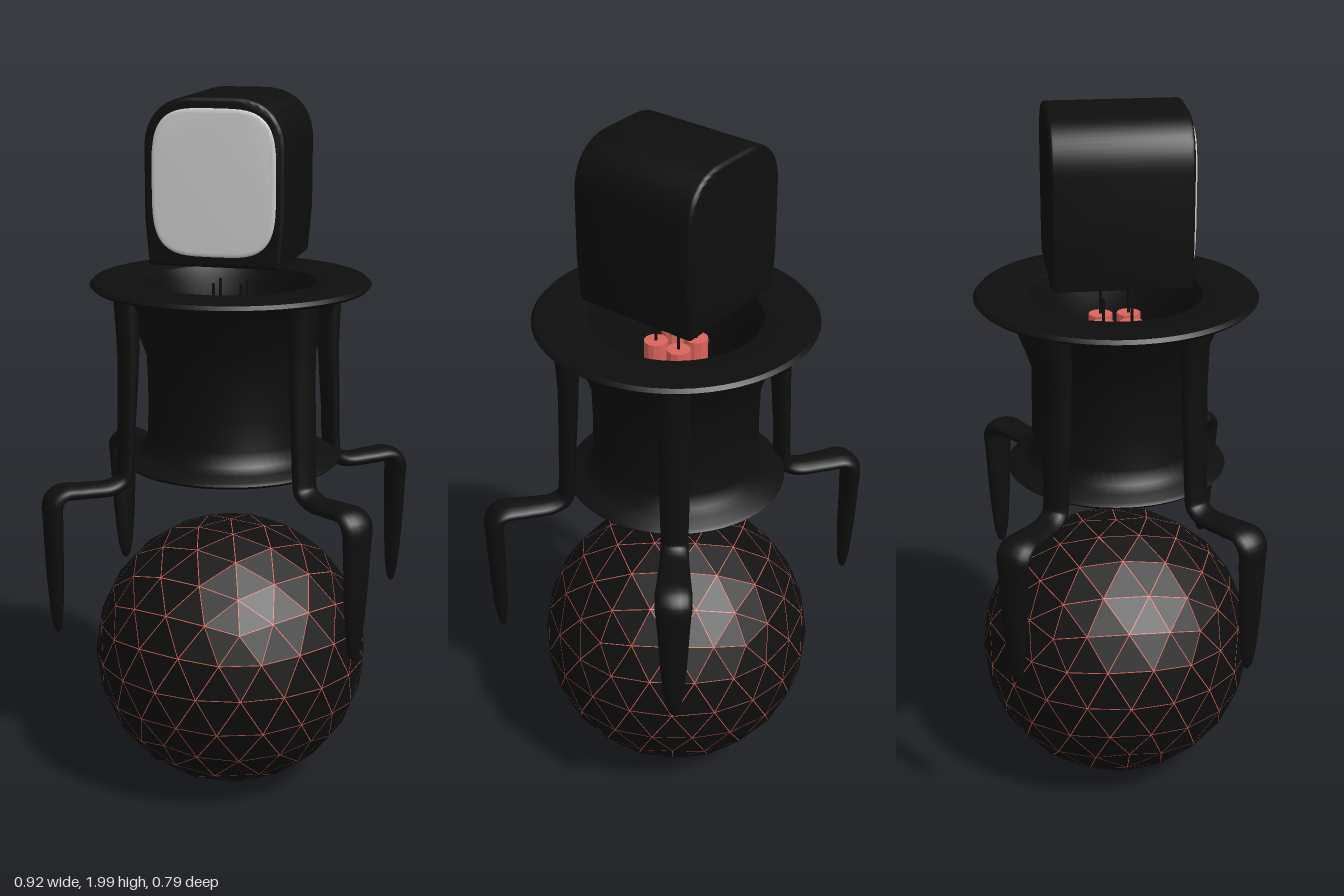
import * as THREE from 'three';
import { toCreasedNormals } from 'three/addons/utils/BufferGeometryUtils.js';

const black = new THREE.MeshStandardMaterial({ color: 0x0e0e0e, side: THREE.DoubleSide });
const blackFlat = new THREE.MeshStandardMaterial({ color: 0x0e0e0e, flatShading: true });
const red = new THREE.MeshStandardMaterial({ color: 0xd9645a, flatShading: true });
const grey = new THREE.MeshStandardMaterial({ color: 0xcccccc });

function part(name, geometry, material, parent) {
  const mesh = new THREE.Mesh(geometry, material);
  mesh.name = name;
  parent.add(mesh);
  return mesh;
}

// Icosphere with a vertex at each pole
function ballGeometry(radius) {
  return new THREE.IcosahedronGeometry(radius, 3).rotateZ(-Math.atan(2 / (1 + Math.sqrt(5))));
}

// Shrinks each triangle about its own centre to leave narrow seams
function separatePlates(geometry, scale) {
  const pos = geometry.attributes.position;
  const v = [0, 1, 2].map(() => new THREE.Vector3());
  const centre = new THREE.Vector3();
  for (let i = 0; i < pos.count; i += 3) {
    v.forEach((p, k) => p.fromBufferAttribute(pos, i + k));
    centre.copy(v[0]).add(v[1]).add(v[2]).divideScalar(3);
    v.forEach((p, k) => {
      p.sub(centre).multiplyScalar(scale).add(centre);
      pos.setXYZ(i + k, p.x, p.y, p.z);
    });
  }
  return geometry;
}

// Bent arm: each station is [radius, height, half thickness, half width]
function armGeometry() {
  const stations = [
    [0.305, 1.475, 0.036, 0.042], [0.303, 1.3, 0.028, 0.042], [0.312, 1.1, 0.023, 0.04],
    [0.316, 1.0, 0.023, 0.038], [0.324, 0.955, 0.023, 0.038], [0.36, 0.934, 0.022, 0.04],
    [0.44, 0.934, 0.022, 0.045], [0.505, 0.934, 0.022, 0.05], [0.528, 0.91, 0.027, 0.05],
    [0.53, 0.85, 0.026, 0.045], [0.528, 0.7, 0.023, 0.036], [0.526, 0.58, 0.016, 0.024],
    [0.525, 0.54, 0.009, 0.013], [0.525, 0.528, 0.0005, 0.0005],
  ];
  const curve = new THREE.CatmullRomCurve3(stations.map(([r, y]) => new THREE.Vector3(r, y, 0)));
  const rings = 78, sides = 16, last = stations.length - 1;
  const positions = [], index = [];
  for (let i = 0; i <= rings; i++) {
    const t = i / rings;
    const p = curve.getPoint(t), d = curve.getTangent(t);
    const k = Math.min(Math.floor(t * last), last - 1), f = t * last - k;
    const wn = THREE.MathUtils.lerp(stations[k][2], stations[k + 1][2], f);
    const wt = THREE.MathUtils.lerp(stations[k][3], stations[k + 1][3], f);
    for (let j = 0; j < sides; j++) {
      const a = (j / sides) * Math.PI * 2, n = Math.cos(a) * wn;
      positions.push(p.x - d.y * n, p.y + d.x * n, Math.sin(a) * wt);
      if (i < rings) {
        const a0 = i * sides + j, b0 = i * sides + (j + 1) % sides;
        index.push(a0, b0, a0 + sides, b0, b0 + sides, a0 + sides);
      }
    }
  }
  const g = new THREE.BufferGeometry();
  g.setAttribute('position', new THREE.Float32BufferAttribute(positions, 3));
  g.setIndex(index);
  g.computeVertexNormals();
  return g;
}

// Hollow waist with a wide top rim and a smaller bottom flange
function bodyGeometry() {
  const profile = [
    [0.215, 0.98], [0.3, 0.978], [0.308, 0.986], [0.3, 0.994], [0.265, 1.002], [0.243, 1.02],
    [0.234, 1.06], [0.231, 1.15], [0.234, 1.28], [0.255, 1.34], [0.282, 1.41], [0.305, 1.455],
    [0.335, 1.468], [0.38, 1.474], [0.389, 1.483], [0.38, 1.493], [0.25, 1.495], [0.237, 1.488],
    [0.225, 1.45], [0.215, 1.35], [0.215, 0.98],
  ].map(([x, y]) => new THREE.Vector2(x, y));
  return toCreasedNormals(new THREE.LatheGeometry(profile, 64), 0.7);
}

// Head casing outline: big round top corners, tight bottom corners
function headGeometry() {
  const b = 0.012, w = 0.19 - b, foot = 0.18 - b, top = 2 - b, bottom = 1.555 + b, r = 0.125;
  const s = new THREE.Shape();
  s.moveTo(-foot, bottom);
  s.lineTo(foot, bottom);
  s.lineTo(w, 1.68);
  s.lineTo(w, top - r);
  s.bezierCurveTo(w, top - r * 0.35, w - r * 0.4, top, w - r, top);
  s.lineTo(-w + r, top);
  s.bezierCurveTo(-w + r * 0.4, top, -w, top - r * 0.35, -w, top - r);
  s.lineTo(-w, 1.68);
  s.closePath();
  const g = new THREE.ExtrudeGeometry(s, {
    depth: 0.375 - 2 * b, bevelSize: b, bevelThickness: b, bevelSegments: 4, curveSegments: 16,
  });
  return toCreasedNormals(g.translate(0, 0, -0.19 + b), 0.6);
}

// Softly squared screen
function screenGeometry() {
  const points = [];
  for (let i = 0; i < 64; i++) {
    const a = (i / 64) * Math.PI * 2, c = Math.cos(a), s = Math.sin(a);
    points.push(new THREE.Vector2(
      0.158 * Math.sign(c) * Math.abs(c) ** 0.5,
      1.778 + 0.184 * Math.sign(s) * Math.abs(s) ** 0.5));
  }
  const g = new THREE.ExtrudeGeometry(new THREE.Shape(points), {
    depth: 0.006, bevelSize: 0.01, bevelThickness: 0.006, bevelSegments: 4,
  });
  return toCreasedNormals(g.translate(0, 0, 0.18), 0.6);
}

export function createModel() {
  const model = new THREE.Group();
  model.name = 'ballRobot';

  // Rolling ball: dark plates over a red core
  const ball = new THREE.Group();
  ball.name = 'ball';
  ball.position.y = 0.4;
  model.add(ball);
  part('ballCore', ballGeometry(0.391), red, ball);
  part('ballPlates', separatePlates(ballGeometry(0.394), 0.965), blackFlat, ball);

  part('body', bodyGeometry(), black, model);

  // Red cells inside the hollow body, each with a thin lead on top
  for (let i = 0; i < 4; i++) {
    const a = Math.PI / 4 + (i * Math.PI) / 2;
    const x = Math.cos(a) * 0.055, z = Math.sin(a) * 0.055;
    part('powerCell', new THREE.CylinderGeometry(0.033, 0.033, 0.41, 12), red, model)
      .position.set(x, 1.21, z);
    part('lead', new THREE.CylinderGeometry(0.004, 0.004, 0.07, 8), black, model)
      .position.set(x, 1.45, z);
  }

  // Four arms in mirrored pairs
  const arm = armGeometry(), spread = THREE.MathUtils.degToRad(37);
  const names = ['frontLeftArm', 'backLeftArm', 'frontRightArm', 'backRightArm'];
  [-spread, spread, Math.PI + spread, Math.PI - spread].forEach((a, i) => {
    part(names[i], arm, black, model).rotation.y = a;
  });

  // Floating head
  part('head', headGeometry(), black, model);
  part('screen', screenGeometry(), grey, model);

  return model;
}
